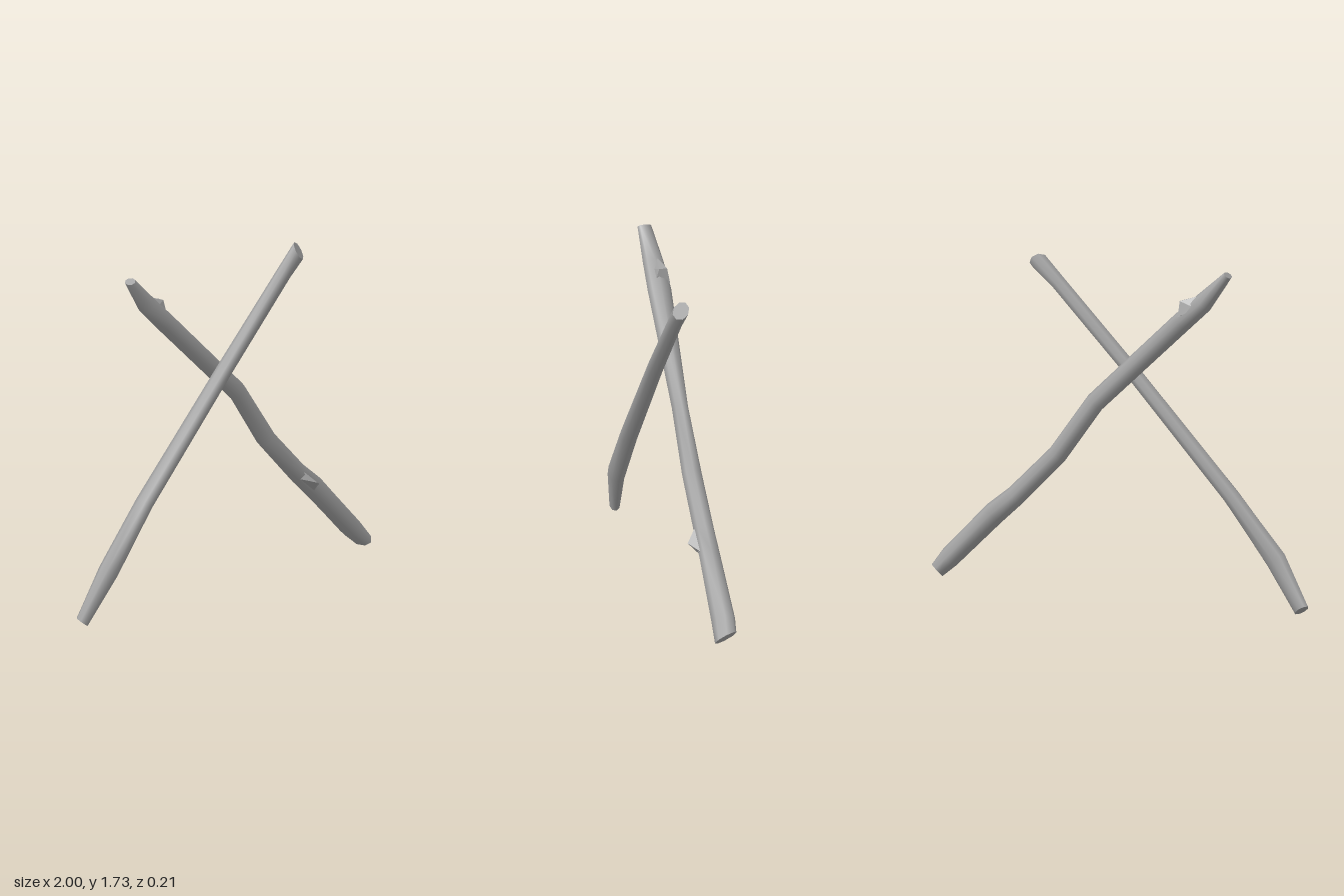
import * as THREE from 'three';
import { ConvexGeometry } from 'three/addons/geometries/ConvexGeometry.js';

const SIDES = 8;

// Sweeps an oval through rings of [x, y, zBack, zFront, halfWidth, skew];
// skew slides the front of a ring along the stick, for slanted cuts.
function stickGeometries(rings) {
  const loops = rings.map(([x, y, zb, zf, hw, skew = 0], i) => {
    const p = rings[Math.max(i - 1, 0)];
    const q = rings[Math.min(i + 1, rings.length - 1)];
    const t = new THREE.Vector2(q[0] - p[0], q[1] - p[1]).normalize();
    return Array.from({ length: SIDES }, (_, j) => {
      const a = (j / SIDES) * Math.PI * 2;
      const c = Math.cos(a) * hw, s = Math.sin(a);
      return [x - t.y * c + t.x * skew * s, y + t.x * c + t.y * skew * s,
        (zb + zf) / 2 + (s * (zf - zb)) / 2];
    });
  });

  // Bark: shared vertices give smooth shading
  const index = [];
  for (let i = 0; i < loops.length - 1; i++) {
    for (let j = 0; j < SIDES; j++) {
      const k = (j + 1) % SIDES;
      const a = i * SIDES + j, b = i * SIDES + k;
      index.push(a, b, a + SIDES, b, b + SIDES, a + SIDES);
    }
  }
  const bark = new THREE.BufferGeometry();
  bark.setAttribute('position', new THREE.Float32BufferAttribute(loops.flat(2), 3));
  bark.setIndex(index);
  bark.computeVertexNormals();

  // Flat cut ends
  const ends = [loops[0].slice().reverse(), loops[loops.length - 1]].map((loop) => {
    const g = new THREE.BufferGeometry();
    g.setAttribute('position', new THREE.Float32BufferAttribute(loop.flat(), 3));
    const fan = [];
    for (let j = 1; j < SIDES - 1; j++) fan.push(0, j, j + 1);
    g.setIndex(fan);
    g.computeVertexNormals();
    return g;
  });
  return [bark, ...ends];
}

export function createModel() {
  const wood = new THREE.MeshStandardMaterial({ color: 0xa3a3a3 });
  wood.name = 'grey wood';
  const model = new THREE.Group();
  model.name = 'crossedSticks';

  function addStick(name, rings) {
    const group = new THREE.Group();
    group.name = name;
    const names = ['bark', 'startCut', 'endCut'];
    stickGeometries(rings).forEach((g, i) => {
      const mesh = new THREE.Mesh(g, wood);
      mesh.name = names[i];
      group.add(mesh);
    });
    model.add(group);
    return group;
  }

  function addKnot(parent, name, points) {
    const g = new ConvexGeometry(points.map((p) => new THREE.Vector3(...p)));
    const mesh = new THREE.Mesh(g, wood);
    mesh.name = name;
    parent.add(mesh);
  }

  // Front stick, lower right to upper left
  addStick('frontStick', [
    [-0.965, 0.03, 0.0, 0.05, 0.04, -0.01],
    [-0.815, 0.27, 0.01, 0.1, 0.056],
    [-0.575, 0.575, 0.005, 0.102, 0.042],
    [-0.03, 1.18, 0.015, 0.102, 0.038],
    [0.36, 1.595, 0.02, 0.094, 0.039],
    [0.462, 1.695, 0.02, 0.092, 0.046, -0.035],
  ]);

  // Back stick, upper right to lower left
  const back = addStick('backStick', [
    [-0.592, 1.695, -0.065, 0.005, 0.022],
    [-0.465, 1.552, -0.095, 0.01, 0.05],
    [-0.35, 1.45, -0.105, 0.015, 0.052],
    [0.125, 1.018, -0.068, 0.015, 0.05],
    [0.325, 0.745, -0.085, 0.015, 0.05],
    [0.545, 0.53, -0.092, 0.012, 0.052],
    [0.66, 0.435, -0.095, 0.012, 0.058],
    [0.9, 0.2, -0.107, 0.015, 0.053],
    [0.97, 0.13, -0.1, 0.018, 0.04, 0.022],
  ]);

  // Broken branch stub near the top
  addKnot(back, 'branchStub', [
    [-0.46, 1.59, -0.05], [-0.44, 1.53, -0.09], [-0.44, 1.53, -0.01],
    [-0.355, 1.56, -0.085], [-0.355, 1.56, -0.045],
    [-0.35, 1.48, -0.1], [-0.35, 1.48, -0.02],
  ]);

  // Small thorn on the front face
  addKnot(back, 'thorn', [
    [0.59, 0.49, 0.055], [0.53, 0.56, -0.005], [0.52, 0.51, -0.005],
    [0.62, 0.43, -0.005], [0.66, 0.46, -0.005], [0.58, 0.5, -0.03],
  ]);

  return model;
}
